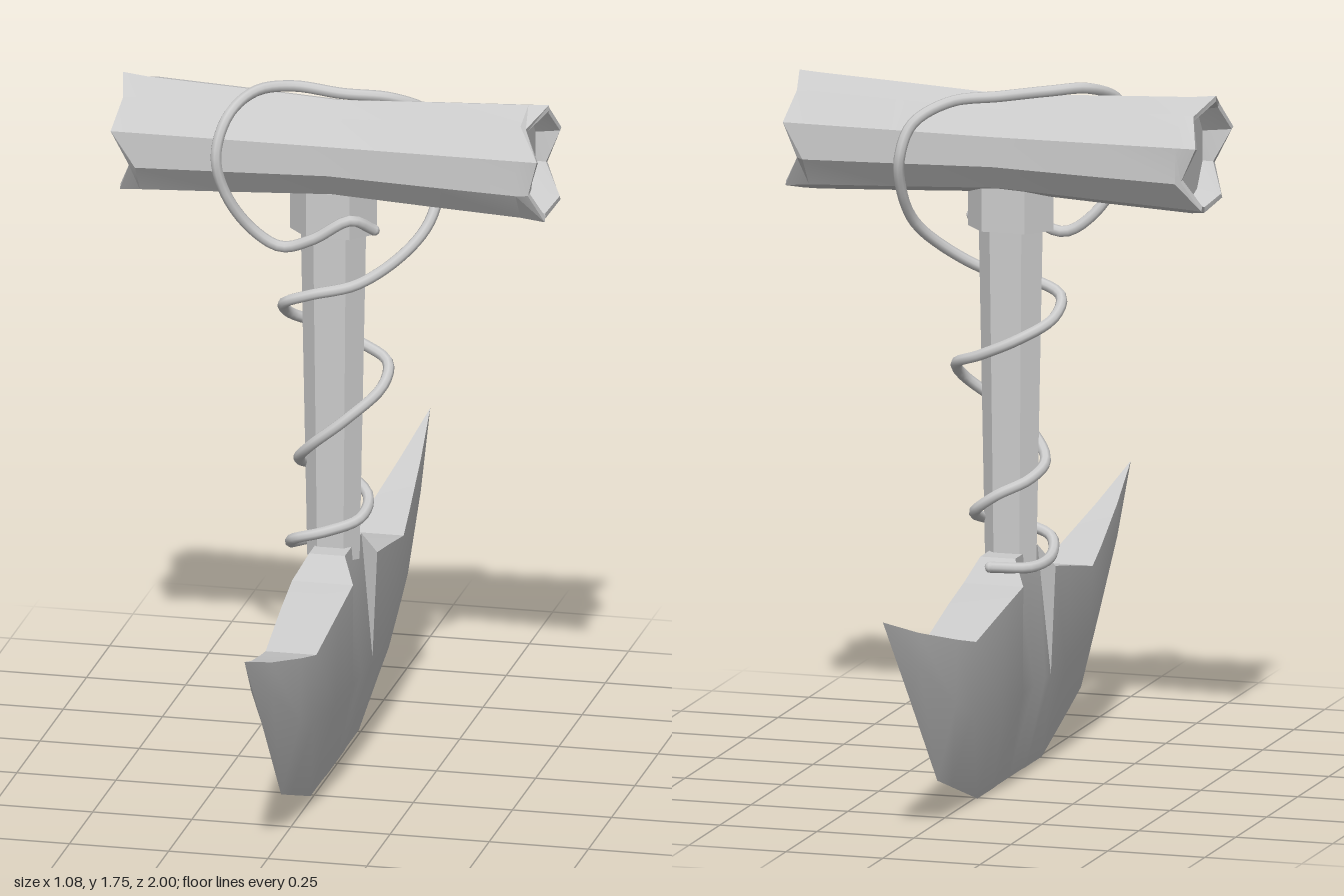
import * as THREE from 'three';
import { toCreasedNormals } from 'three/addons/utils/BufferGeometryUtils.js';

const grey = new THREE.MeshStandardMaterial({ color: 0xcccccc, side: THREE.DoubleSide });

// Skin a row of equal-sized closed rings, each counter-clockwise about the row's direction
function loft(rings, crease) {
  const n = rings[0].length;
  const index = [];
  for (let i = 0; i < rings.length - 1; i++) {
    for (let j = 0; j < n; j++) {
      const k = (j + 1) % n;
      const a = i * n + j, b = i * n + k, c = (i + 1) * n + k, d = (i + 1) * n + j;
      index.push(a, b, c, a, c, d);
    }
  }
  const geo = new THREE.BufferGeometry();
  geo.setAttribute('position', new THREE.Float32BufferAttribute(rings.flat(2), 3));
  geo.setIndex(index);
  return toCreasedNormals(geo, crease);
}

function add(group, name, geo) {
  const mesh = new THREE.Mesh(geo, grey);
  mesh.name = name;
  group.add(mesh);
  return mesh;
}

// Crescent blade: sections from the middle to the tip, mirrored in z
function bladeGeometry() {
  // z, top y, top half width, widest y, widest half width, bottom y
  const half = [
    [0, 0.575, 0.045, 0.24, 0.065, 0.005],
    [0.09, 0.575, 0.045, 0.24, 0.065, 0.005],
    [0.13, 0.515, 0.077, 0.24, 0.065, 0.005],
    [0.26, 0.49, 0.073, 0.24, 0.063, 0.005],
    [0.47, 0.445, 0.064, 0.27, 0.056, 0.077],
    [0.58, 0.472, 0.052, 0.31, 0.048, 0.115],
    [0.8, 0.532, 0.026, 0.45, 0.026, 0.37],
    [1, 0.597, 0, 0.597, 0, 0.597],
  ];
  const back = half.slice(1).reverse().map(([z, ...rest]) => [-z, ...rest]);
  const rings = [...back, ...half].map(([z, yt, wt, ym, wm, yb]) => {
    const cx = -0.007 * Math.min(1, wt / 0.06);
    return [[cx, yb, z], [cx + wm, ym, z], [cx + wt, yt, z], [cx - wt, yt, z], [cx - wm, ym, z]];
  });
  return loft(rings, 0.45);
}

// Ten-sided log with hollow, ragged ends and a slightly pinched waist
function headGeometry() {
  const ragged = [0.01, -0.03, 0.012, -0.012, 0.02, 0.0, 0.018, -0.025, 0.008, -0.01];
  const ring = (x, r, rag = 0) => ragged.map((_, j) => {
    const a = (j / 10) * Math.PI * 2;
    const k = rag < 0 ? (j + 4) % 10 : j;
    const flare = rag ? ragged[k] * 0.35 : 0;
    return [x + rag * ragged[k], 1.6 + (r + flare) * Math.cos(a), -0.008 + (r + flare) * Math.sin(a)];
  });
  return loft([
    ring(-0.47, 0), ring(-0.47, 0.122), ring(-0.522, 0.132, -1), ring(-0.522, 0.146, -1),
    ring(-0.48, 0.146), ring(-0.25, 0.135), ring(0, 0.122), ring(0.25, 0.135), ring(0.48, 0.146),
    ring(0.522, 0.146, 1), ring(0.522, 0.132, 1), ring(0.47, 0.122), ring(0.47, 0),
  ], 0.25);
}

// Flattened six-sided post, corners pointing left and right
function post(bottom, top, y0, y1, depth) {
  const geo = new THREE.CylinderGeometry(top, bottom, y1 - y0, 6, 1, false, Math.PI / 2);
  geo.scale(1, 1, depth);
  geo.translate(-0.01, (y0 + y1) / 2, 0);
  return toCreasedNormals(geo, 0.4);
}

// Vine that climbs the handle and loops over the head
function vineGeometry() {
  const path = [
    [0, 0.56, -0.135], [-0.09, 0.555, -0.08], [-0.115, 0.57, 0], [-0.09, 0.605, 0.07],
    [-0.01, 0.63, 0.075], [0.06, 0.65, 0.02], [0.06, 0.685, -0.07], [0, 0.73, -0.085],
    [-0.07, 0.765, -0.04], [-0.09, 0.8, 0.03], [-0.05, 0.85, 0.075], [0.04, 0.925, 0.08],
    [0.12, 1, 0.03], [0.12, 1.045, -0.03], [0.05, 1.075, -0.065], [-0.05, 1.12, -0.06],
    [-0.12, 1.165, 0], [-0.12, 1.21, 0.06], [-0.05, 1.24, 0.075], [0.06, 1.265, 0.045],
    [0.16, 1.33, -0.01], [0.215, 1.4, -0.07], [0.23, 1.49, -0.13], [0.225, 1.58, -0.162],
    [0.2, 1.66, -0.14], [0.12, 1.71, -0.085], [0, 1.725, -0.05], [-0.12, 1.742, -0.03],
    [-0.2, 1.742, 0.03], [-0.25, 1.7, 0.115], [-0.27, 1.61, 0.155], [-0.25, 1.51, 0.14],
    [-0.19, 1.41, 0.105], [-0.12, 1.365, 0.09], [-0.04, 1.39, 0.09], [0.05, 1.44, 0.075],
    [0.1, 1.405, 0.03],
  ].map((p) => new THREE.Vector3(...p));
  return new THREE.TubeGeometry(new THREE.CatmullRomCurve3(path), 180, 0.014, 8);
}

export function createModel() {
  const model = new THREE.Group();
  model.name = 'crescentAxe';
  add(model, 'blade', bladeGeometry());
  add(model, 'handle', post(0.066, 0.083, 0.54, 1.42, 0.6));
  add(model, 'collar', post(0.11, 0.11, 1.385, 1.5, 0.66));
  add(model, 'head', headGeometry());

  // Vine with rounded ends
  const vine = new THREE.Group();
  vine.name = 'vine';
  add(vine, 'vineStem', vineGeometry());
  for (const end of [[0, 0.56, -0.135], [0.1, 1.405, 0.03]]) {
    add(vine, 'vineEnd', new THREE.SphereGeometry(0.014, 8, 6)).position.set(...end);
  }
  model.add(vine);
  return model;
}
